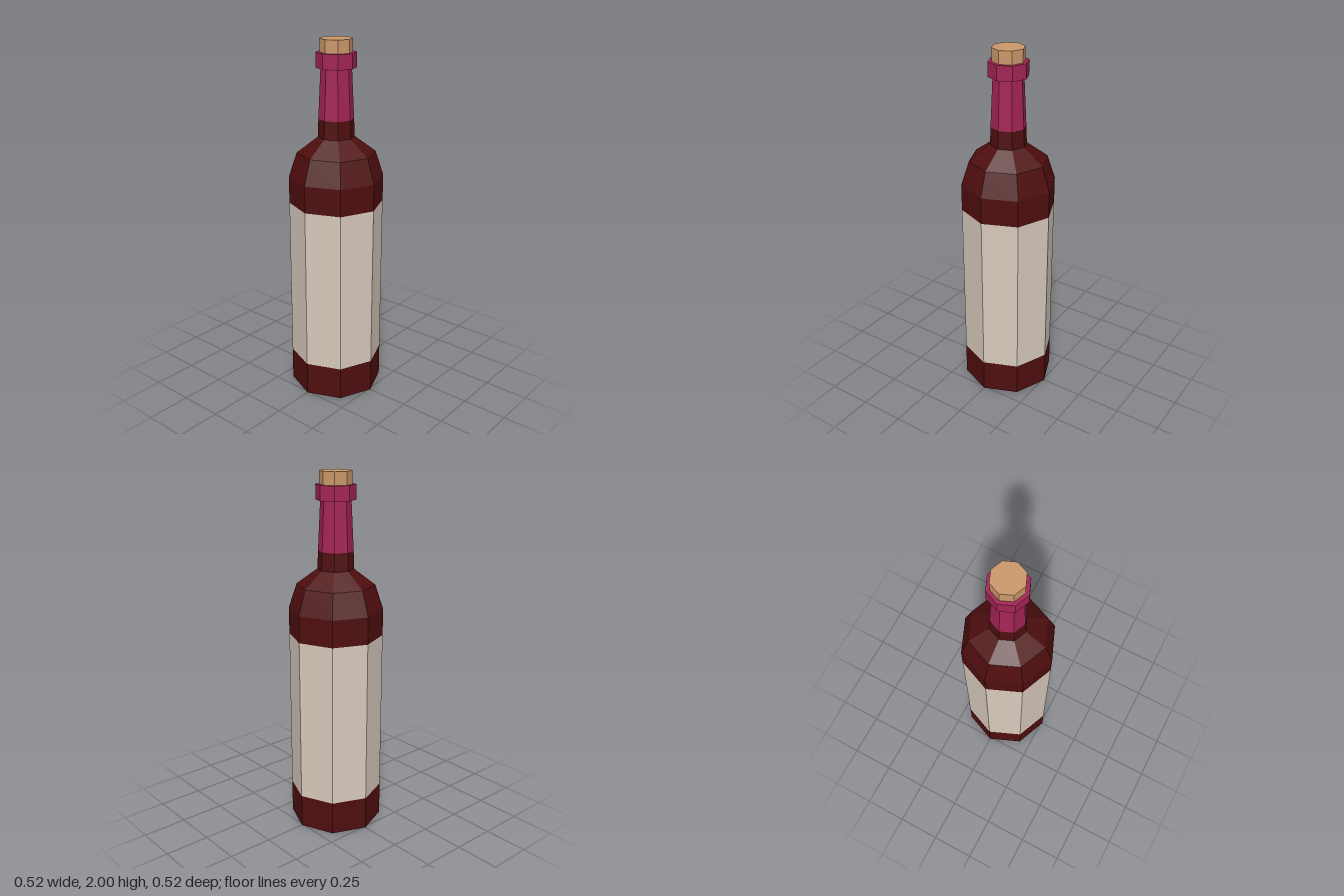
import * as THREE from 'three';

const SIDES = 8;

function material(name, color) {
  const m = new THREE.MeshStandardMaterial({ color, flatShading: true });
  m.name = name;
  return m;
}

export function createModel() {
  const glass = material('dark red glass', 0x4f0e0f);
  const paper = material('cream paper', 0xd8cabd);
  const foil = material('magenta foil', 0xa32454);
  const corkTan = material('cork tan', 0xcb986a);

  const bottle = new THREE.Group();
  bottle.name = 'bottle';

  // Each part is a faceted ring turned from [radius, height] points, bottom to top
  function turned(name, mat, profile) {
    const points = profile.map(([r, y]) => new THREE.Vector2(r, y));
    const mesh = new THREE.Mesh(new THREE.LatheGeometry(points, SIDES), mat);
    mesh.name = name;
    bottle.add(mesh);
  }

  // Glass foot, closed underneath
  turned('base', glass, [[0, 0], [0.26, 0], [0.26, 0.19]]);
  // Label wraps flush around the body
  turned('label', paper, [[0.26, 0.19], [0.26, 1.11]]);
  // Shoulder curving into the lower neck
  turned('shoulder', glass, [[0.26, 1.11], [0.26, 1.26], [0.215, 1.395], [0.1, 1.48], [0.096, 1.58]]);
  // Foil sleeve and the lip ring above it
  turned('neckFoil', foil, [[0.096, 1.58], [0.083, 1.85]]);
  turned('lip', foil, [[0.083, 1.85], [0.108, 1.85], [0.108, 1.93], [0.088, 1.93]]);
  // Cork stopper
  turned('cork', corkTan, [[0.088, 1.93], [0.088, 2], [0, 2]]);

  return bottle;
}
